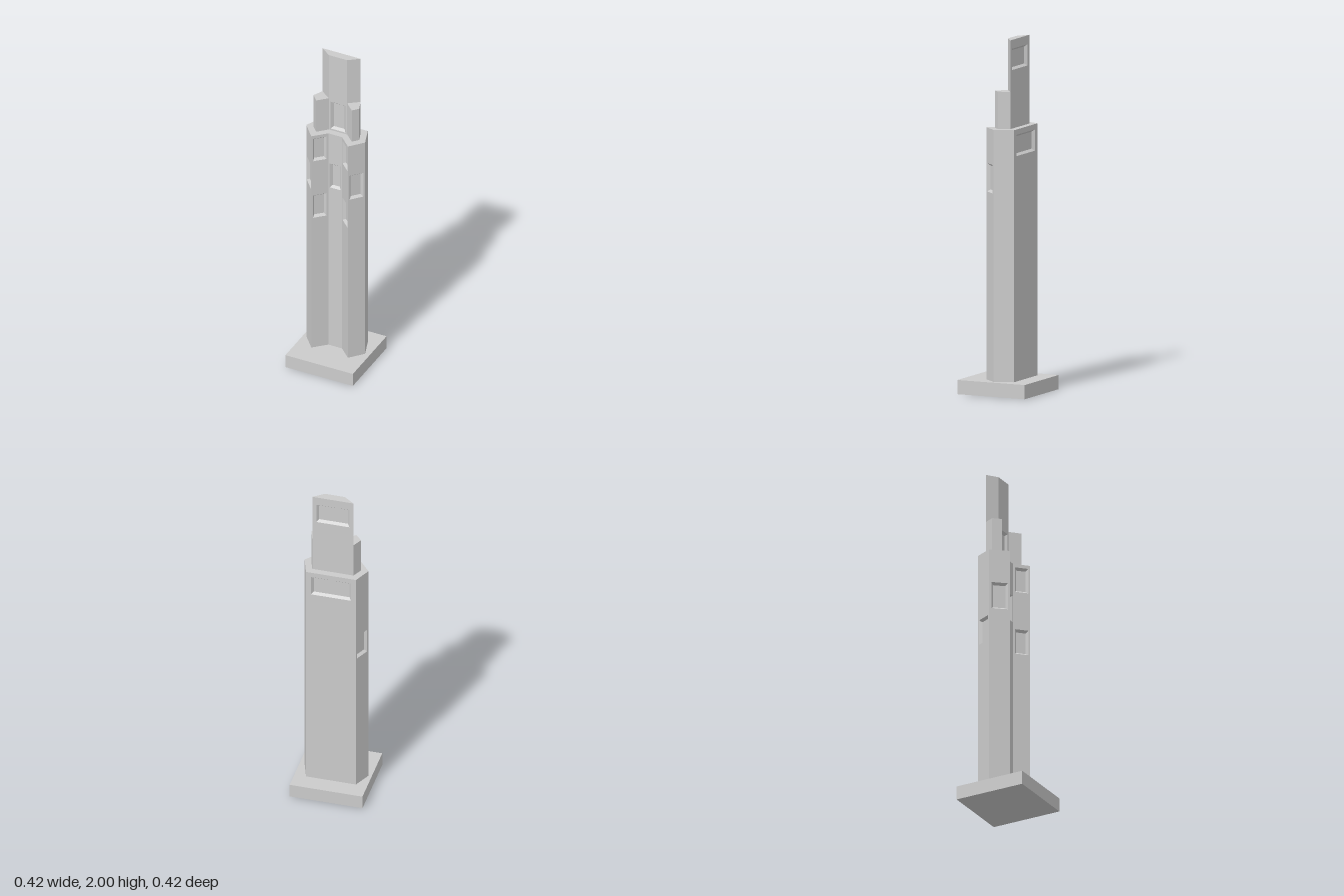
import * as THREE from 'three';
import { mergeGeometries } from 'three/addons/utils/BufferGeometryUtils.js';

const material = new THREE.MeshStandardMaterial({ color: 0xcccccc, flatShading: true });
const BEVEL = 0.012, DEPTH = 0.015, MARGIN = 0.1;

const rect = (u0, y0, u1, y1) => [[u0, y0], [u1, y0], [u1, y1], [u0, y1]];
const toPoints = (corners) => corners.map(([x, y]) => new THREE.Vector2(x, y));

// Bevelled sunken panel: four sloping sides and a flat back
function recess(u0, y0, u1, y1) {
  const outer = rect(u0, y0, u1, y1).map((c) => [...c, 0]);
  const inner = rect(u0 + BEVEL, y0 + BEVEL, u1 - BEVEL, y1 - BEVEL).map((c) => [...c, -DEPTH]);
  const quads = outer.map((o, i) => [o, outer[(i + 1) % 4], inner[(i + 1) % 4], inner[i]]);
  quads.push(inner);
  const pos = quads.flatMap(([a, b, c, d]) => [a, b, c, a, c, d]).flat();
  const g = new THREE.BufferGeometry();
  g.setAttribute('position', new THREE.Float32BufferAttribute(pos, 3));
  g.computeVertexNormals();
  return g;
}

// Flat wall between plan corners a and b, pierced by sunken panels
function wall(a, b, y0, y1, bands) {
  const u = new THREE.Vector3(a[0] - b[0], 0, a[1] - b[1]);
  const len = u.length();
  u.normalize();
  const up = new THREE.Vector3(0, 1, 0);
  const shape = new THREE.Shape(toPoints(rect(0, y0, len, y1)));
  const parts = [];
  for (const [low, high] of bands) {
    const box = [len * MARGIN, low, len * (1 - MARGIN), high];
    shape.holes.push(new THREE.Path(toPoints(rect(...box)).reverse()));
    parts.push(recess(...box));
  }
  const face = new THREE.ShapeGeometry(shape).toNonIndexed();
  face.deleteAttribute('uv');
  parts.push(face);
  const frame = new THREE.Matrix4()
    .makeBasis(u, up, u.clone().cross(up))
    .setPosition(b[0], 0, b[1]);
  return mergeGeometries(parts).applyMatrix4(frame);
}

// Prism over a plan of [x, z] corners; panels maps edge index to [low, high] bands
function tier(name, plan, y0, y1, panels = {}) {
  const parts = plan.map((a, i) => wall(a, plan[(i + 1) % plan.length], y0, y1, panels[i] || []));
  const roof = new THREE.ShapeGeometry(new THREE.Shape(toPoints(plan.map(([x, z]) => [x, -z]))))
    .toNonIndexed();
  roof.deleteAttribute('uv');
  parts.push(roof.rotateX(-Math.PI / 2).translate(0, y1, 0));
  const mesh = new THREE.Mesh(mergeGeometries(parts), material);
  mesh.name = name;
  return mesh;
}

export function createModel() {
  const group = new THREE.Group();
  group.name = 'tower';

  // Square plinth
  const base = new THREE.Mesh(new THREE.BoxGeometry(0.42, 0.08, 0.42), material);
  base.position.y = 0.04;
  base.name = 'base';
  group.add(base);

  // Main shaft with a notch in its front
  const shaft = [
    [-0.145, -0.11], [0.143, -0.11], [0.181, 0], [0.113, 0.078],
    [0.042, 0.009], [-0.043, 0.009], [-0.115, 0.078], [-0.191, -0.012],
  ];
  const inner = [[0.95, 1.1], [1.33, 1.48]], middle = [[1.14, 1.3]];
  group.add(tier('mainShaft', shaft, 0.08, 1.5, {
    0: [[1.35, 1.47]], 2: middle, 3: inner, 4: middle, 5: inner, 6: middle, 7: [[0.95, 1.1]],
  }));

  // Short wings on either side of the top slab
  group.add(tier('leftWing',
    [[0.117, -0.073], [0.14, -0.009], [0.111, 0.025], [0.056, -0.027]], 1.5, 1.71));
  group.add(tier('rightWing',
    [[-0.121, -0.073], [-0.058, -0.027], [-0.111, 0.025], [-0.149, -0.017]], 1.5, 1.71));

  // Tall top slab
  group.add(tier('topSlab',
    [[-0.121, -0.073], [0.117, -0.073], [0.056, -0.027], [-0.058, -0.027]], 1.5, 2,
    { 0: [[1.83, 1.95]], 2: [[1.51, 1.69]] }));

  return group;
}
